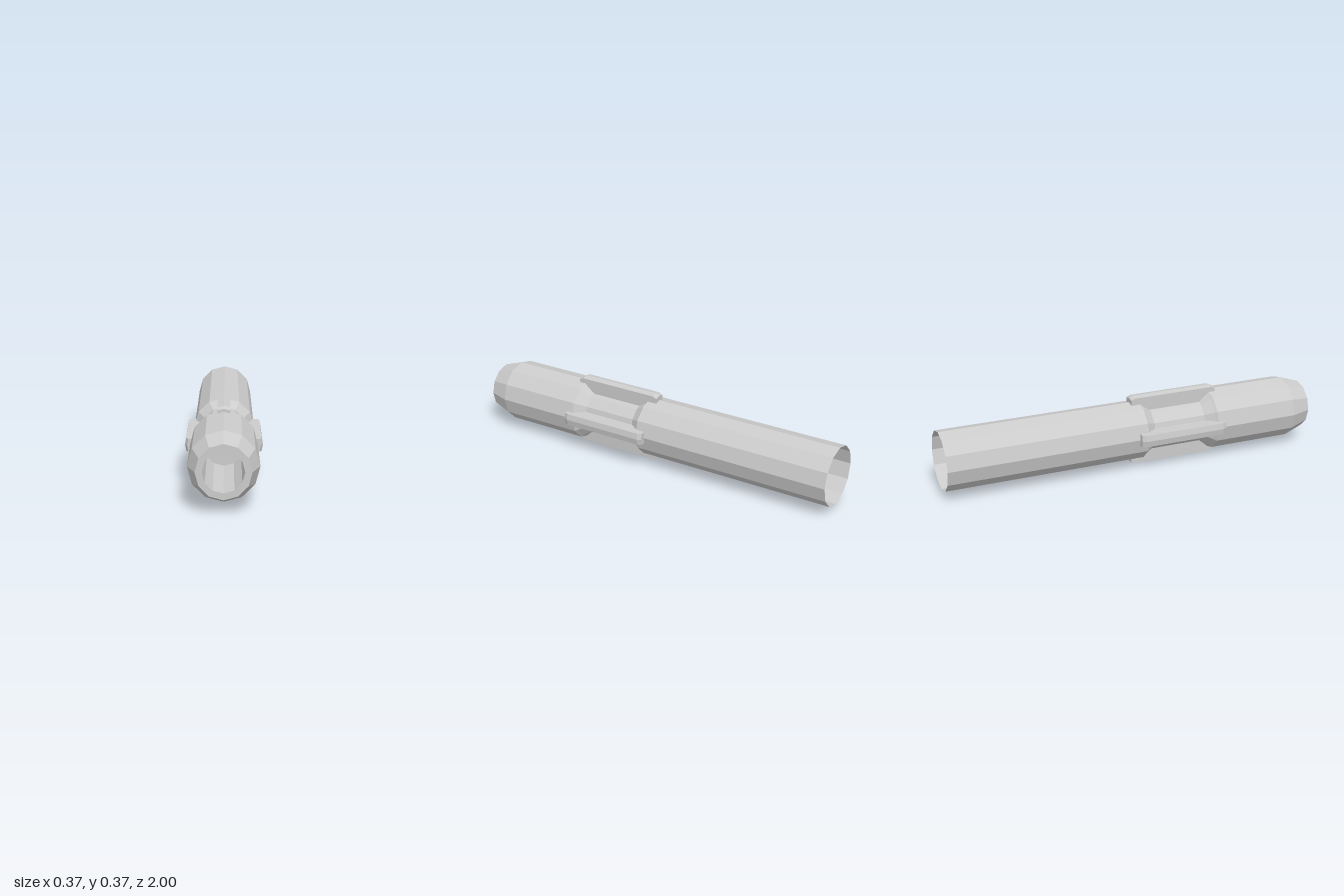
import * as THREE from 'three';

const SIDES = 12;
const AXIS_Y = 0.187;

export function createModel() {
  const model = new THREE.Group();
  model.name = 'tubeAssembly';
  const material = new THREE.MeshStandardMaterial({
    color: 0xcccccc, flatShading: true, side: THREE.DoubleSide,
  });

  // Twelve-sided section along z from [radius, z] pairs
  function turned(name, profile) {
    const points = profile.map(([r, z]) => new THREE.Vector2(r, z));
    const geometry = new THREE.LatheGeometry(points, SIDES);
    geometry.rotateX(Math.PI / 2);
    const mesh = new THREE.Mesh(geometry, material);
    mesh.name = name;
    mesh.position.y = AXIS_Y;
    model.add(mesh);
  }

  // Open-ended rear tube, narrowing into the neck
  turned('rearTube', [[0.152, -1], [0.152, 0.05], [0.146, 0.055], [0.115, 0.1]]);
  turned('neck', [[0.115, 0.1], [0.115, 0.385]]);

  // Front sleeve with a tapered nose and a blind bore
  turned('frontSleeve', [
    [0.115, 0.385], [0.152, 0.43], [0.162, 0.44], [0.162, 0.89], [0.125, 1], [0.094, 1],
  ]);
  turned('bore', [[0.094, 1], [0.094, 0.5], [0, 0.5]]);

  // Rib outline in (z, radius) with chamfered outer corners
  const outline = new THREE.Shape([
    [0.0, 0.106], [0.475, 0.106], [0.475, 0.17], [0.455, 0.18], [0.02, 0.18], [0.0, 0.17],
  ].map(([z, r]) => new THREE.Vector2(z, r)));
  const ribGeometry = new THREE.ExtrudeGeometry(outline, {
    depth: 0.062, steps: 2, bevelEnabled: false,
  });
  ribGeometry.translate(0, 0, -0.031);
  ribGeometry.rotateY(-Math.PI / 2);

  // Lift the centre line of the outer face into a shallow ridge
  const pos = ribGeometry.attributes.position;
  for (let i = 0; i < pos.count; i++) {
    if (Math.abs(pos.getX(i)) < 0.001 && pos.getY(i) > 0.15) pos.setY(i, pos.getY(i) + 0.006);
  }
  ribGeometry.computeVertexNormals();

  // Four ribs bridging the neck
  ['topRib', 'leftRib', 'bottomRib', 'rightRib'].forEach((name, i) => {
    const rib = new THREE.Mesh(ribGeometry, material);
    rib.name = name;
    rib.position.y = AXIS_Y;
    rib.rotation.z = -i * Math.PI / 2;
    model.add(rib);
  });

  return model;
}
